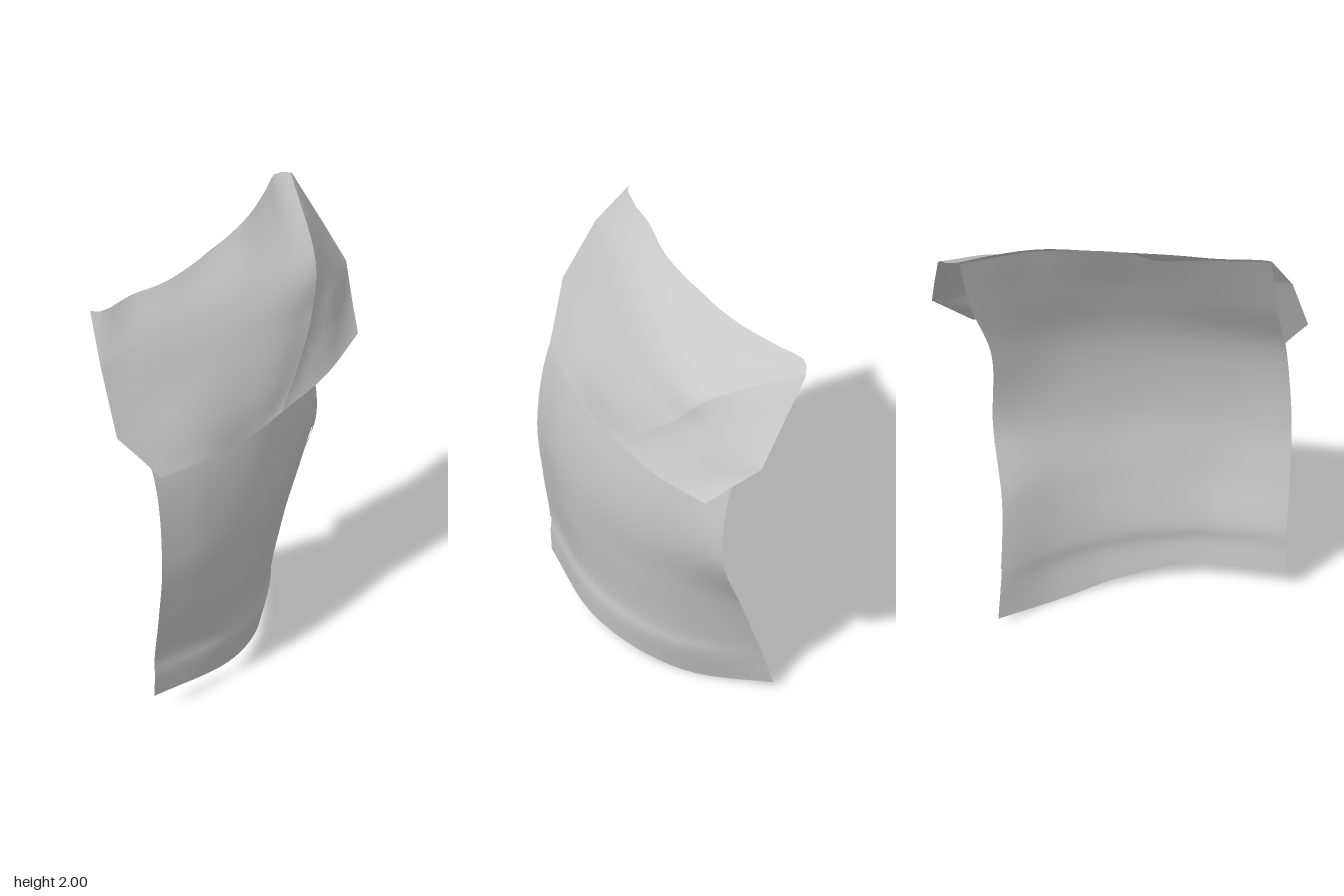
import * as THREE from 'three';

const V = (p) => new THREE.Vector3(...p);

// Smooth sheet through rows of control points (rows run top to bottom, points run -x to +x).
// tension(u) sets how round each downward curve is: 0 gives straight runs with sharp corners.
function sheet(rows, tension) {
  const across = rows.map((r) => new THREE.CatmullRomCurve3(r.map(V)));
  return (u, v) => {
    const points = across.map((c) => c.getPointAt(u));
    const down = tension
      ? new THREE.CatmullRomCurve3(points, false, 'catmullrom', tension(u))
      : new THREE.CatmullRomCurve3(points);
    return down.getPoint(v);
  };
}

// Grid geometry over part of a sheet, optionally lifted off its front
function patch(at, nu, nv, [u0, u1] = [0, 1], [v0, v1] = [0, 1], lift = 0) {
  const pos = [], idx = [];
  for (let j = 0; j <= nv; j++) for (let i = 0; i <= nu; i++) {
    const u = u0 + ((u1 - u0) * i) / nu, v = v0 + ((v1 - v0) * j) / nv;
    const p = at(u, v);
    if (lift) {
      const e = 0.01;
      const du = at(Math.min(1, u + e), v).sub(at(Math.max(0, u - e), v));
      const dv = at(u, Math.min(1, v + e)).sub(at(u, Math.max(0, v - e)));
      p.addScaledVector(dv.cross(du).normalize(), lift);
    }
    pos.push(p.x, p.y, p.z);
    if (i < nu && j < nv) {
      const a = j * (nu + 1) + i, c = a + nu + 1;
      idx.push(a, c, a + 1, a + 1, c, c + 1);
    }
  }
  const g = new THREE.BufferGeometry();
  g.setAttribute('position', new THREE.Float32BufferAttribute(pos, 3));
  g.setIndex(idx);
  g.computeVertexNormals();
  return g;
}

export function createModel() {
  const model = new THREE.Group();
  const cloth = new THREE.MeshStandardMaterial({ color: 0xc8c8c8, side: THREE.DoubleSide });
  cloth.name = 'grey cloth';
  const add = (name, geometry) => {
    const mesh = new THREE.Mesh(geometry, cloth);
    mesh.name = name;
    model.add(mesh);
  };

  // Hanging panel: uneven top edge just under the fold, slightly proud hem in its last rows
  const panel = sheet([
    [[-0.735, 1.985, 0.025], [-0.45, 1.945, -0.01], [-0.2, 1.9, -0.04], [-0.1, 1.94, -0.085],
      [0.27, 1.94, -0.22], [0.43, 1.93, -0.32], [0.57, 1.91, -0.41]],
    [[-0.685, 1.6, 0.21], [-0.38, 1.6, 0.17], [0, 1.6, 0.085], [0.3, 1.6, -0.07], [0.57, 1.6, -0.28]],
    [[-0.655, 1.27, 0.385], [-0.38, 1.26, 0.35], [0, 1.25, 0.245], [0.3, 1.25, 0.085], [0.53, 1.25, -0.13]],
    [[-0.655, 0.85, 0.445], [-0.38, 0.85, 0.415], [0, 0.85, 0.3], [0.3, 0.85, 0.12], [0.54, 0.85, -0.09]],
    [[-0.655, 0.55, 0.42], [-0.3, 0.55, 0.38], [0.04, 0.54, 0.24], [0.27, 0.53, 0.06], [0.455, 0.53, -0.19]],
    [[-0.655, 0.3, 0.387], [-0.24, 0.27, 0.325], [0.06, 0.25, 0.175], [0.25, 0.24, -0.005], [0.42, 0.25, -0.285]],
    [[-0.655, 0.22, 0.39], [-0.23, 0.19, 0.328], [0.06, 0.165, 0.175], [0.25, 0.155, -0.015], [0.415, 0.17, -0.31]],
    [[-0.655, 0.11, 0.385], [-0.22, 0.07, 0.315], [0.05, 0.025, 0.15], [0.22, 0, -0.04], [0.41, 0.03, -0.35]],
  ]);
  add('panel', patch(panel, 36, 56));

  // Stitched bands down both sides of the panel
  add('rightSeamBand', patch(panel, 4, 40, [0, 0.06], [0.26, 0.715], 0.006));
  add('leftSeamBand', patch(panel, 4, 40, [0.95, 1], [0.26, 0.715], 0.006));

  // Diagonal crease where the flap's corner bends back
  const crease = [[0.655, 1.922, -0.435], [0.515, 1.75, -0.05], [0.4, 1.57, 0.09], [0.25, 1.41, 0.2], [0.1, 1.27, 0.285]];

  // Flap folded over the front, starting at the fold line
  const flap = sheet([
    [[-0.74, 2, 0.015], [-0.69, 1.985, 0.03], [-0.5, 1.97, -0.015], [-0.3, 1.95, -0.035], [0, 1.945, -0.12],
      [0.27, 1.953, -0.225], [0.45, 1.948, -0.345], [0.59, 1.937, -0.45], crease[0]],
    [[-0.782, 1.8, 0.155], [-0.4, 1.8, 0.12], [0, 1.79, 0.065], [0.25, 1.77, 0.02], crease[1]],
    [[-0.795, 1.5, 0.3], [-0.4, 1.58, 0.245], [-0.05, 1.59, 0.2], [0.18, 1.58, 0.16], crease[2]],
    [[-0.71, 1.39, 0.35], [-0.4, 1.42, 0.33], [-0.1, 1.4, 0.29], [0.08, 1.4, 0.255], crease[3]],
    [[-0.63, 1.28, 0.4], [-0.4, 1.27, 0.39], [-0.15, 1.24, 0.335], [-0.02, 1.25, 0.31], crease[4]],
  ], (u) => Math.min(0.5, 3 * u));
  add('flap', patch(flap, 36, 32));

  // Corner of the flap beyond the crease
  const corner = sheet([
    [crease[0], [0.66, 1.917, -0.434], [0.663, 1.912, -0.433]],
    [crease[1], [0.62, 1.74, -0.18], [0.728, 1.72, -0.315]],
    [crease[2], [0.6, 1.56, -0.04], [0.788, 1.53, -0.2]],
    [crease[3], [0.5, 1.42, 0.085], [0.737, 1.42, -0.085]],
    [crease[4], [0.4, 1.29, 0.19], [0.69, 1.31, 0.03]],
  ], (u) => Math.min(0.5, 3 * (1 - u)));
  add('flapCorner', patch(corner, 16, 32));

  return model;
}
